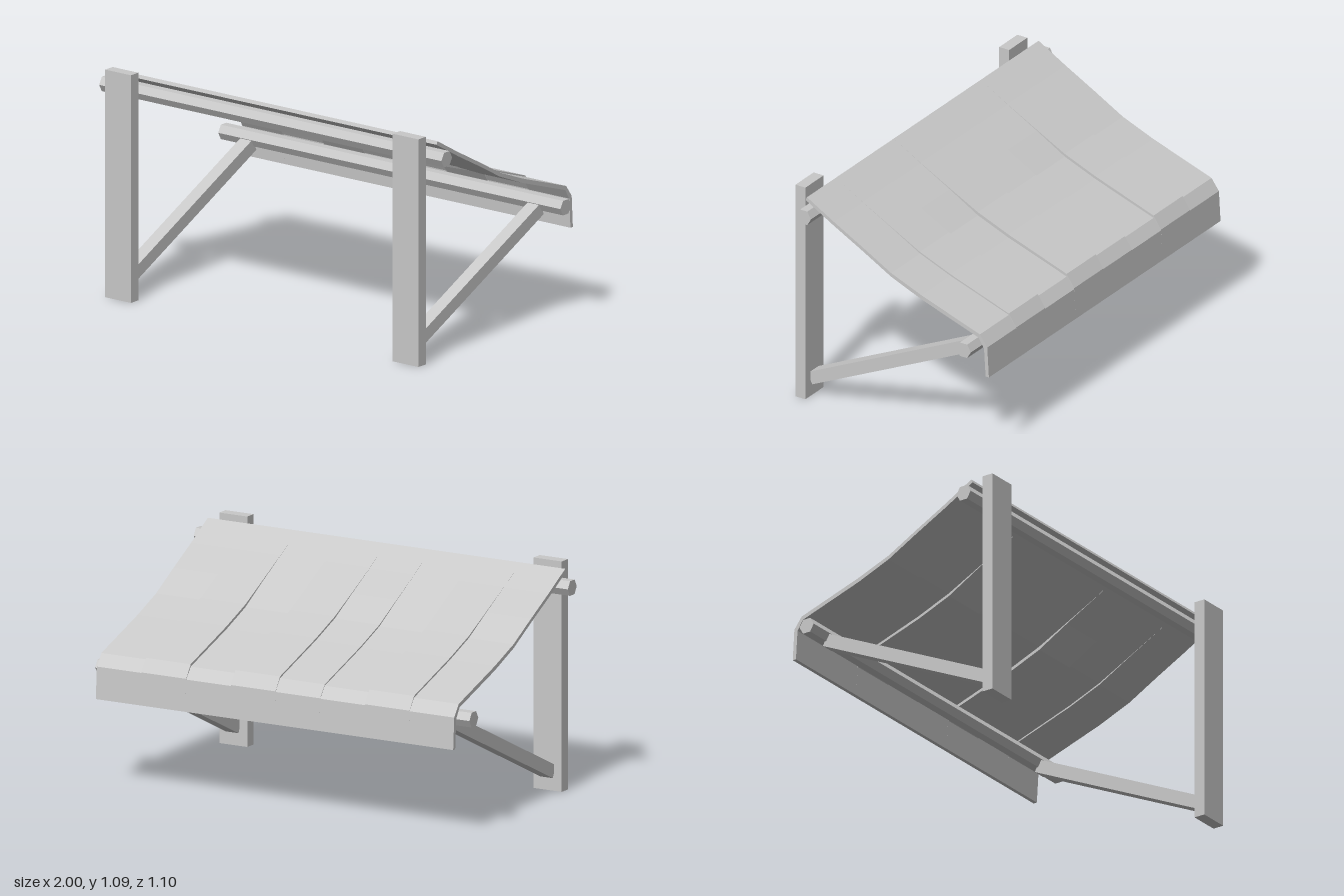
import * as THREE from 'three';

export function createModel() {
  const group = new THREE.Group();
  const grey = new THREE.MeshStandardMaterial({ color: 0xc8c8c8 });
  grey.name = 'plain grey';

  const add = (name, geometry, x = 0, y = 0, z = 0) => {
    const mesh = new THREE.Mesh(geometry, grey);
    mesh.name = name;
    mesh.position.set(x, y, z);
    group.add(mesh);
    return mesh;
  };

  // Wall posts and the slanted struts that hold the rear pole
  const low = new THREE.Vector2(0.498, 0.09);     // (z, y)
  const high = new THREE.Vector2(-0.422, 0.525);
  for (const side of [1, -1]) {
    const label = side > 0 ? 'left' : 'right';
    add(label + 'Post', new THREE.BoxGeometry(0.15, 1.09, 0.055), side * 0.84, 0.545, 0.522);
    const strut = add(label + 'Strut',
      new THREE.BoxGeometry(0.066, 0.062, low.distanceTo(high)),
      side * 0.84, (low.y + high.y) / 2, (low.x + high.x) / 2);
    strut.rotation.x = Math.atan2(high.y - low.y, low.x - high.x);
  }

  // Six-sided poles running along x, with faceted sides
  const pole = new THREE.CylinderGeometry(0.04, 0.04, 2, 6).rotateZ(Math.PI / 2).toNonIndexed();
  pole.computeVertexNormals();
  add('upperPole', pole, 0, 0.987, 0.447);
  add('eavePole', pole, 0, 0.552, -0.437);

  // Canopy section as [z, y, sag share]: upper face down, then underside back
  const upper = [
    [0.459, 1.068, 0], [0.31, 0.984, 0.1], [0.15, 0.9, 0.35], [-0.006, 0.82, 1],
    [-0.174, 0.753, 1], [-0.497, 0.641, 0.85], [-0.538, 0.579, 0.3], [-0.547, 0.424, 0],
  ];
  const under = [
    [0.466, 1.052, 0], [0.31, 0.964, 0.1], [0.15, 0.881, 0.35], [-0.006, 0.801, 1],
    [-0.174, 0.732, 1], [-0.49, 0.623, 0.85], [-0.52, 0.569, 0.3], [-0.529, 0.424, 0],
  ];
  const outline = [...upper, ...under.reverse()];

  // Eight cloth strips that sag by slightly different amounts
  const sags = [0.011, 0.002, 0.016, 0.009, 0, 0.016, 0.003, 0.011];
  const width = 1.91 / sags.length;
  sags.forEach((sag, i) => {
    const shape = new THREE.Shape(outline.map(([z, y, s]) => new THREE.Vector2(z, y - s * sag)));
    const strip = new THREE.ExtrudeGeometry(shape, { depth: width, bevelEnabled: false });
    strip.rotateY(-Math.PI / 2);
    add('canopyStrip' + (i + 1), strip, -0.955 + (i + 1) * width);
  });

  return group;
}
